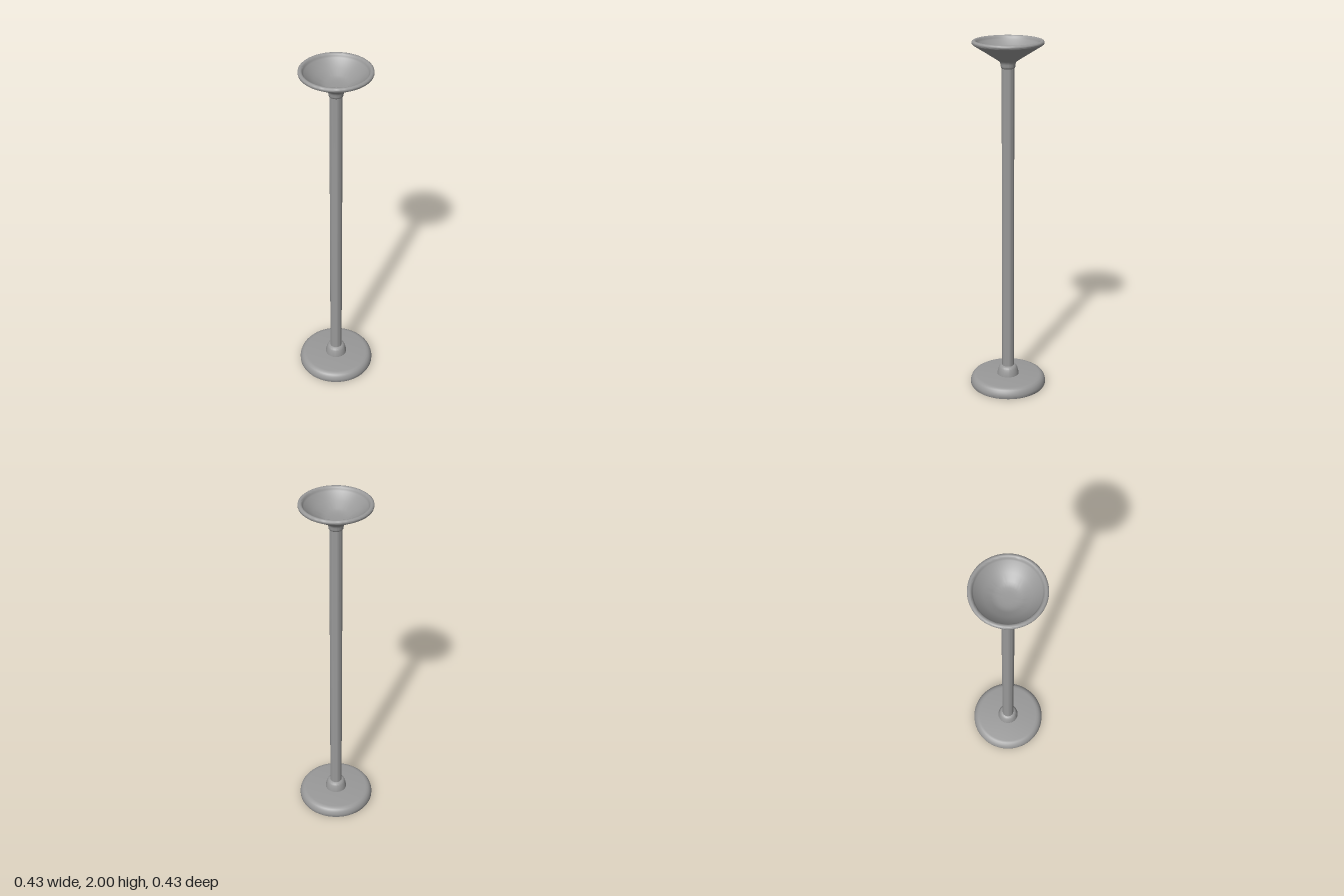
import * as THREE from 'three';
import { toCreasedNormals } from 'three/addons/utils/BufferGeometryUtils.js';

const material = new THREE.MeshStandardMaterial({ color: 0x999999 });

// Turned part from [radius, height] pairs, running up the outside
function turned(name, profile, sides = 64) {
  const points = profile.map(([r, y]) => new THREE.Vector2(r, y));
  const geometry = toCreasedNormals(new THREE.LatheGeometry(points, sides), 0.8);
  const mesh = new THREE.Mesh(geometry, material);
  mesh.name = name;
  return mesh;
}

export function createModel() {
  const group = new THREE.Group();
  group.name = 'floorLamp';

  // Round weighted foot with a softened upper edge
  group.add(turned('base', [
    [0, 0], [0.214, 0], [0.217, 0.006], [0.217, 0.022], [0.212, 0.038],
    [0.204, 0.049], [0.193, 0.056], [0.18, 0.058], [0, 0.058],
  ]));

  // Domed socket holding the pole
  group.add(turned('baseCollar', [
    [0.062, 0.056], [0.061, 0.068], [0.057, 0.085], [0.053, 0.098],
    [0.049, 0.106], [0.042, 0.112], [0.033, 0.114],
  ], 48));

  // Straight pole
  group.add(turned('pole', [[0.034, 0.056], [0.034, 1.87]], 48));

  // Hollow uplight bowl: neck flaring into the cone, rounded rim, dished inside
  group.add(turned('bowl', [
    [0.033, 1.85], [0.037, 1.853], [0.039, 1.862], [0.04, 1.874], [0.043, 1.884],
    [0.05, 1.891], [0.062, 1.899], [0.12, 1.936], [0.184, 1.976], [0.19, 1.981],
    [0.192, 1.987], [0.191, 1.994], [0.187, 1.998], [0.181, 2], [0.175, 1.999],
    [0.17, 1.995], [0.167, 1.987], [0.162, 1.979], [0.115, 1.945], [0.08, 1.923],
    [0.066, 1.916], [0.05, 1.912], [0.03, 1.91], [0, 1.91],
  ]));

  return group;
}
